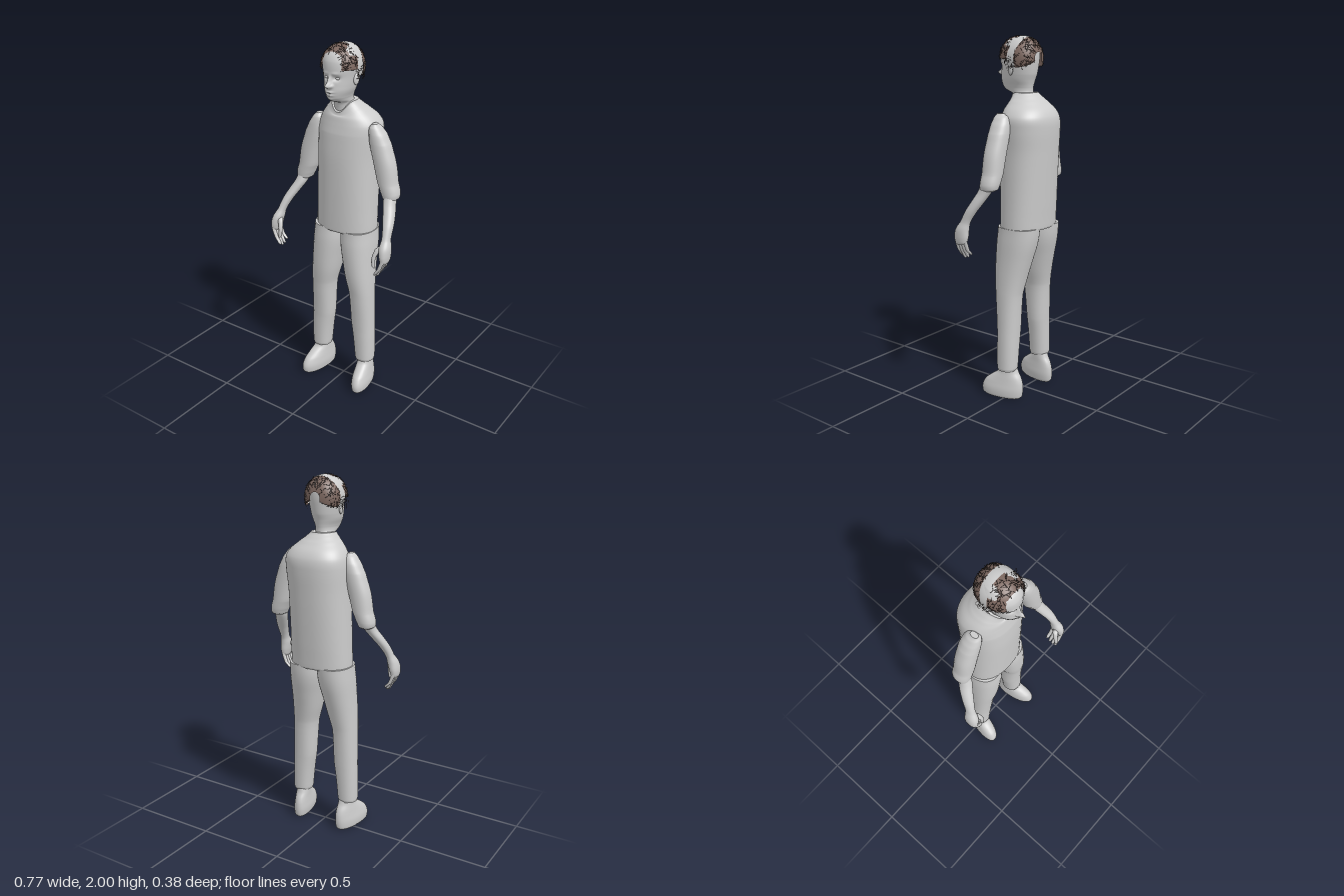
import * as THREE from 'three';
import { mergeGeometries } from 'three/addons/utils/BufferGeometryUtils.js';

const mat = (name, color, side = THREE.FrontSide) => {
  const m = new THREE.MeshStandardMaterial({ color, side });
  m.name = name;
  return m;
};

// Smooth loft through level rings [y, xMin, xMax, zBack, zFront], listed bottom to top.
function loft(rings, { n = 32, steps = 5, p = 2.2, tweak = null } = {}) {
  const rows = [];
  const cr = (a, b, c, d, t) => 0.5 * (2 * b + (c - a) * t + (2 * a - 5 * b + 4 * c - d) * t * t + (3 * b - a - 3 * c + d) * t * t * t);
  const last = rings.length - 1;
  for (let i = 0; i < last; i++) {
    for (let k = 0; k < steps; k++) {
      const [a, b, c, d] = [i - 1, i, i + 1, i + 2].map(q => rings[Math.min(last, Math.max(0, q))]);
      const t = k / steps;
      rows.push(b.map((v, q) => q === 0 ? v + (c[0] - v) * t : cr(a[q], v, c[q], d[q], t)));
    }
  }
  rows.push(rings[last]);
  const pos = [], idx = [];
  const power = v => Math.sign(v) * Math.abs(v) ** (2 / p);
  for (const [y, x0, x1, z0, z1] of rows) {
    for (let i = 0; i < n; i++) {
      const a = i / n * Math.PI * 2;
      const v = new THREE.Vector3((x0 + x1) / 2 + (x1 - x0) / 2 * power(Math.cos(a)), y, (z0 + z1) / 2 + (z1 - z0) / 2 * power(Math.sin(a)));
      if (tweak) tweak(v, Math.sin(a));
      pos.push(v.x, v.y, v.z);
    }
  }
  for (let j = 0; j < rows.length - 1; j++) {
    for (let i = 0; i < n; i++) {
      const a = j * n + i, b = j * n + (i + 1) % n;
      idx.push(a, a + n, b, b, a + n, b + n);
    }
  }
  // flat end caps with their own corners
  for (const [j, up] of [[0, false], [rows.length - 1, true]]) {
    const s = pos.length / 3, r = rows[j];
    for (let i = 0; i < n * 3; i++) pos.push(pos[j * n * 3 + i]);
    pos.push((r[1] + r[2]) / 2, r[0], (r[3] + r[4]) / 2);
    for (let i = 0; i < n; i++) {
      const a = s + i, b = s + (i + 1) % n;
      if (up) idx.push(a, s + n, b); else idx.push(a, b, s + n);
    }
  }
  const g = new THREE.BufferGeometry();
  g.setAttribute('position', new THREE.Float32BufferAttribute(pos, 3));
  g.setIndex(idx);
  g.computeVertexNormals();
  return g;
}

// Rings given for the left side, mirrored when s = -1; shift slides the upper arms.
const sided = (rings, s, shift = () => 0) => rings.map(([y, a, b, z0, z1]) =>
  [y, (s > 0 ? a : -b) + shift(y), (s > 0 ? b : -a) + shift(y), z0, z1]);

// Thin round digit through points [x, y, z, radius], bottom to top.
const digit = pts => pts.map(([x, y, z, r]) => [y, x - r, x + r, z - r, z + r]);

const bump = (v, x, y, sx, sy) => Math.exp(-(((v.x - x) / sx) ** 2) - ((v.y - y) / sy) ** 2);

// Point on the hair surface: t swings ear to ear over the crown, z runs front to back.
function hairPoint(t, z, off = 0) {
  const q = Math.min(1, Math.abs((z - 0.014) / 0.11));
  const k = (1 - q ** 2.5) ** (1 / 2.5);
  return new THREE.Vector3(0.005 + (0.101 + off) * k * Math.sin(t), 1.883 + (0.112 + off) * k * Math.cos(t), z + off * Math.sign(z - 0.014) * q);
}

function hairPatch(tMax, zFrom, zTo, off) {
  const g = new THREE.PlaneGeometry(1, 1, 40, 14), p = g.attributes.position;
  for (let i = 0; i < p.count; i++) {
    const t = p.getX(i) * 2 * tMax, w = p.getY(i) + 0.5;
    const v = hairPoint(t, zFrom(t) + (zTo(t) - zFrom(t)) * w, off);
    p.setXYZ(i, v.x, v.y, v.z);
  }
  g.computeVertexNormals();
  return g;
}

export function createModel() {
  const clay = mat('light grey', 0xcccccc);
  const scalp = clay.clone();
  scalp.side = THREE.DoubleSide;
  const hair = mat('brown hair', 0x7d6860, THREE.DoubleSide);
  const strand = mat('dark strands', 0x352b28, THREE.DoubleSide);
  const model = new THREE.Group();
  const add = (name, geo, m = clay) => {
    const mesh = new THREE.Mesh(geo, m);
    mesh.name = name;
    model.add(mesh);
    return mesh;
  };

  // Shirt, with a V-shaped neckline dipping at the front
  add('shirt', loft([
    [0.975, -0.172, 0.176, -0.153, 0.093], [0.985, -0.175, 0.179, -0.157, 0.096], [1.1, -0.172, 0.178, -0.165, 0.098],
    [1.25, -0.168, 0.178, -0.175, 0.1], [1.4, -0.165, 0.18, -0.185, 0.1], [1.53, -0.165, 0.19, -0.193, 0.092],
    [1.58, -0.158, 0.188, -0.188, 0.082], [1.62, -0.138, 0.162, -0.166, 0.074], [1.66, -0.105, 0.118, -0.125, 0.068],
    [1.685, -0.08, 0.088, -0.097, 0.064], [1.705, -0.062, 0.07, -0.077, 0.062]
  ], {
    n: 48, p: 2.25, tweak: (v, s) => {
      const top = THREE.MathUtils.smoothstep(v.y, 1.61, 1.705);
      v.y -= 0.06 * top * Math.max(0, s) ** 3;
    }
  }));

  // Head and neck; the face is pressed out of the front of the loft
  add('head', loft([
    [1.6, -0.06, 0.065, -0.07, 0.05], [1.67, -0.05, 0.056, -0.062, 0.056], [1.7, -0.047, 0.055, -0.056, 0.066],
    [1.715, -0.047, 0.056, -0.054, 0.105], [1.735, -0.051, 0.061, -0.056, 0.128], [1.77, -0.065, 0.075, -0.064, 0.135],
    [1.8, -0.072, 0.082, -0.074, 0.133], [1.84, -0.078, 0.088, -0.081, 0.13], [1.88, -0.084, 0.094, -0.086, 0.134],
    [1.92, -0.086, 0.096, -0.086, 0.13], [1.95, -0.08, 0.09, -0.08, 0.115], [1.975, -0.062, 0.072, -0.06, 0.088],
    [1.988, -0.04, 0.05, -0.035, 0.056], [1.993, -0.008, 0.018, 0, 0.025]
  ], {
    n: 96, steps: 8, p: 2.1, tweak: (v, s) => {
      if (s <= 0.2) return;
      const x = v.x - 0.005, f = { x, y: v.y }, m = { x: Math.abs(x), y: v.y };
      v.z += 0.038 * bump(f, 0, 1.803, 0.011, 0.014) + 0.02 * bump(f, 0, 1.828, 0.009, 0.022)
        + 0.012 * bump(m, 0.014, 1.799, 0.007, 0.007) - 0.015 * bump(m, 0.032, 1.838, 0.015, 0.011)
        + 0.005 * bump(m, 0.03, 1.862, 0.02, 0.008) + 0.01 * bump(f, 0, 1.767, 0.02, 0.006)
        + 0.01 * bump(f, 0, 1.752, 0.018, 0.006) - 0.005 * bump(f, 0, 1.76, 0.022, 0.003)
        + 0.007 * bump(f, 0, 1.727, 0.018, 0.01);
    }
  }));

  for (const s of [1, -1]) {
    const side = s > 0 ? 'left' : 'right';
    const shift = y => 0.02 * THREE.MathUtils.clamp((y - 0.95) / 0.25, 0, 1);
    const part = (name, rings, opt, sh) => add(side + name, loft(sided(rings, s, sh), opt));

    // Eye and ear
    const eye = add(side + 'Eye', new THREE.SphereGeometry(0.011, 16, 12));
    eye.position.set(0.005 + s * 0.032, 1.837, 0.108);
    eye.scale.set(1.15, 0.7, 0.8);
    const ear = add(side + 'Ear', new THREE.SphereGeometry(0.03, 18, 14));
    ear.scale.set(0.32, 1, 0.6);
    ear.position.set(0.005 + s * 0.086, 1.825, 0.02);
    ear.rotation.set(-0.15, s * -0.35, 0);

    // Sleeve
    part('Sleeve', [
      [1.213, 0.25, 0.312, -0.035, 0.04], [1.222, 0.238, 0.324, -0.05, 0.048], [1.25, 0.224, 0.326, -0.057, 0.05],
      [1.3, 0.202, 0.312, -0.06, 0.05], [1.4, 0.176, 0.296, -0.062, 0.05], [1.5, 0.15, 0.263, -0.062, 0.048],
      [1.55, 0.145, 0.237, -0.056, 0.045], [1.585, 0.147, 0.212, -0.042, 0.038], [1.606, 0.163, 0.192, -0.02, 0.025]
    ], {}, shift);

    // Forearm and palm
    part('Forearm', [
      [0.915, 0.35, 0.378, 0.115, 0.175], [0.93, 0.342, 0.384, 0.106, 0.184], [0.96, 0.334, 0.387, 0.1, 0.187],
      [1.0, 0.326, 0.383, 0.098, 0.178], [1.04, 0.324, 0.368, 0.09, 0.15], [1.1, 0.304, 0.358, 0.055, 0.122],
      [1.15, 0.28, 0.342, 0.02, 0.092], [1.2, 0.257, 0.322, -0.012, 0.064], [1.26, 0.248, 0.312, -0.042, 0.038]
    ], { n: 24 }, shift);

    // Four curled fingers and the thumb
    for (let i = 0; i < 4; i++) {
      const z = 0.115 + i * 0.02, tip = [0.85, 0.834, 0.828, 0.84][i];
      part('Finger', digit([[0.318, tip, z, 0.004], [0.323, tip + 0.008, z, 0.009], [0.345, 0.88, z, 0.0105], [0.364, 0.935, z, 0.011]]), { n: 10, steps: 4, p: 2 });
    }
    part('Thumb', digit([[0.318, 0.886, 0.181, 0.004], [0.314, 0.895, 0.18, 0.009], [0.312, 0.94, 0.176, 0.011], [0.325, 0.985, 0.158, 0.015], [0.34, 1.005, 0.145, 0.012]]), { n: 12, steps: 4, p: 2 });

    // Trouser leg
    part('TrouserLeg', [
      [0.165, 0.1, 0.204, -0.05, 0.055], [0.18, 0.096, 0.207, -0.055, 0.06], [0.3, 0.084, 0.206, -0.058, 0.062],
      [0.4, 0.07, 0.203, -0.061, 0.065], [0.6, 0.06, 0.198, -0.07, 0.08], [0.7, 0.035, 0.194, -0.09, 0.092],
      [0.8, 0.015, 0.19, -0.115, 0.096], [0.9, -0.004, 0.187, -0.14, 0.095], [0.985, -0.008, 0.182, -0.15, 0.088]
    ], { p: 2.25 });

    // Shoe, toes turned out
    part('Shoe', [
      [0, 0.115, 0.195, -0.075, 0.14], [0.012, 0.107, 0.204, -0.086, 0.153], [0.05, 0.103, 0.206, -0.091, 0.155],
      [0.09, 0.106, 0.2, -0.088, 0.135], [0.12, 0.109, 0.195, -0.078, 0.098], [0.15, 0.111, 0.19, -0.06, 0.058],
      [0.19, 0.115, 0.188, -0.048, 0.045]
    ], { tweak: v => { v.x += s * 0.17 * v.z; } });
  }

  // Hair in two patches, with a bare band across the crown between them
  const bend = t => Math.abs(Math.sin(t)) ** 4;
  const frontFrom = t => 0.01 + 0.02 * bend(t), frontTo = t => 0.1 + 0.012 * bend(t);
  const backFrom = t => -0.032 + 0.024 * bend(t), backTo = () => -0.094;
  add('frontHair', hairPatch(1.6, frontFrom, frontTo, 0.002), hair);
  add('backHair', hairPatch(2.0, backFrom, backTo, 0.002), hair);
  add('bareBand', hairPatch(1.95, t => -0.034 + 0.024 * bend(t), t => 0.012 + 0.02 * bend(t), 0.004), scalp);

  // Loose dark strands criss-crossing both patches
  let seed = 7;
  const rnd = () => (seed = (seed * 16807) % 2147483647) / 2147483647;
  const strands = [];
  for (let i = 0; i < 300; i++) {
    const front = i % 2 === 0;
    const t = (rnd() * 2 - 1) * (front ? 1.65 : 2.05), w = rnd();
    const z = front ? frontFrom(t) + (frontTo(t) - frontFrom(t)) * w : backFrom(t) + (-0.088 - backFrom(t)) * w;
    const a = rnd() * Math.PI * 2, len = 0.018 + rnd() * 0.022, lift = rnd() * 0.006;
    const pts = [-0.5, 0, 0.5].map(u => {
      const zz = z + Math.sin(a) * len * u * 0.7;
      const lim = front ? THREE.MathUtils.clamp(zz, 0.008, 0.115) : THREE.MathUtils.clamp(zz, -0.094, -0.012);
      return hairPoint(t + Math.cos(a) * len * u / 0.1, lim, 0.003 + (u > 0 ? lift : 0));
    });
    strands.push(new THREE.TubeGeometry(new THREE.CatmullRomCurve3(pts), 4, 0.001, 3));
  }
  // Wisps at the sides and nape
  for (let i = 0; i < 30; i++) {
    const t = (i % 2 ? 1 : -1) * (1.5 + rnd() * 0.6), z = -0.02 + rnd() * 0.07;
    const p = hairPoint(t, z, 0.004), out = Math.sign(t) * (0.005 + rnd() * 0.018);
    const pts = [p, new THREE.Vector3(p.x + out, p.y + 0.008, z), new THREE.Vector3(p.x + out * 0.8, p.y - 0.014, z + 0.006)];
    strands.push(new THREE.TubeGeometry(new THREE.CatmullRomCurve3(pts), 5, 0.0009, 3));
  }
  add('looseStrands', mergeGeometries(strands), strand);
  return model;
}
